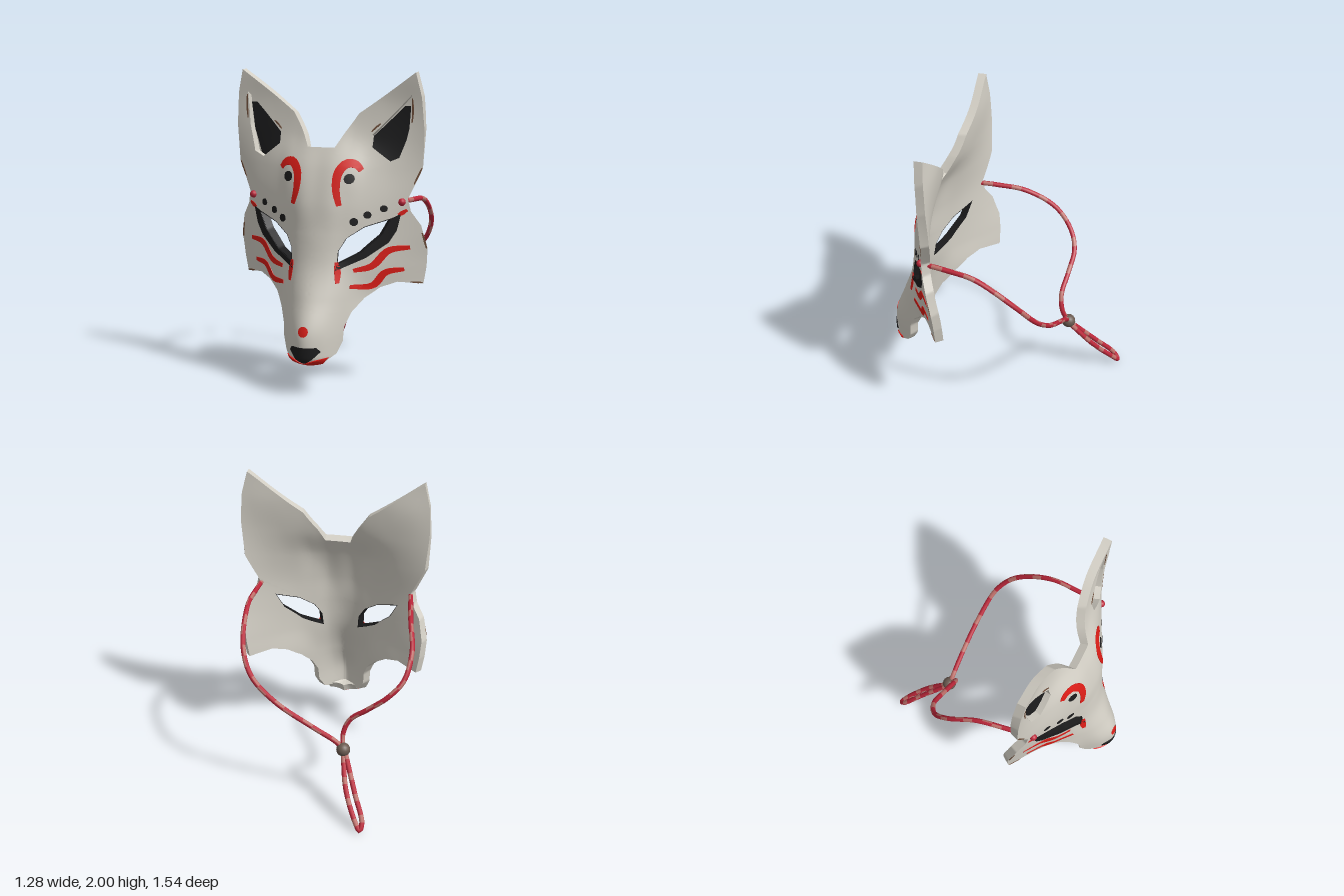
import * as THREE from 'three';
import { toCreasedNormals } from 'three/addons/utils/BufferGeometryUtils.js';

const paint = (name, color) => Object.assign(new THREE.MeshStandardMaterial({ color }), { name });
const V = (a) => new THREE.Vector3(a[0], a[1], a[2] || 0);

// Depth of the face: rows every 0.2 in y from 0.2 to 2, columns every 0.1 in x from the middle out
const DEPTH = [
  [.76, .71, .585, .50, .42, .35, .28],
  [.76, .71, .59, .50, .43, .35, .28],
  [.69, .655, .57, .47, .39, .32, .25],
  [.62, .60, .54, .48, .41, .34, .27],
  [.59, .575, .53, .48, .42, .36, .30],
  [.565, .56, .52, .47, .42, .37, .32],
  [.51, .51, .485, .435, .395, .36, .325],
  [.425, .42, .395, .375, .36, .345, .33],
  [.36, .36, .36, .35, .34, .335, .335],
  [.35, .35, .35, .35, .35, .35, .35],
];
const spline = (a, b, c, d, t) =>
  b + 0.5 * t * (c - a + t * (2 * a - 5 * b + 4 * c - d + t * (3 * (b - c) + d - a)));
const cell = (r, c) => {
  const row = DEPTH[Math.min(9, Math.max(0, r))];
  c = Math.abs(c);
  return c > 6 ? row[6] + (c - 6) * (row[6] - row[5]) : row[c];
};
function depth(x, y) {
  const u = Math.abs(x) * 10, v = (y - 0.2) * 5;
  const i = Math.floor(u), j = Math.floor(v);
  const rows = [-1, 0, 1, 2].map((k) =>
    spline(cell(j + k, i - 1), cell(j + k, i), cell(j + k, i + 1), cell(j + k, i + 2), u - i));
  const chin = Math.max(0, 0.245 - y);
  return spline(...rows, v - j) - 30 * chin * chin;
}

// Splits every triangle until no edge is longer than max in the xy plane
function subdivide(tri, max, out) {
  let k = 0, long = 0;
  for (let e = 0; e < 3; e++) {
    const a = tri[e], b = tri[(e + 1) % 3], d = Math.hypot(a.x - b.x, a.y - b.y);
    if (d > long) { long = d; k = e; }
  }
  if (long <= max) { out.push(...tri); return; }
  const a = tri[k], b = tri[(k + 1) % 3], c = tri[(k + 2) % 3];
  const m = a.clone().add(b).multiplyScalar(0.5);
  subdivide([a, m, c], max, out);
  subdivide([m, b, c], max, out);
}

// Lays a flat counter-clockwise outline over the face as a plate between two offsets along the normal
function drape(points, back, front, holes = []) {
  const shape = new THREE.Shape(points.map((p) => new THREE.Vector2(...p)));
  shape.holes = holes.map((h) => new THREE.Path(h.map((p) => new THREE.Vector2(...p))));
  let flat = new THREE.ExtrudeGeometry(shape, { depth: 1, bevelEnabled: false });
  if (flat.index) flat = flat.toNonIndexed();
  const pos = flat.attributes.position, verts = [];
  for (let i = 0; i < pos.count; i += 3) {
    subdivide([0, 1, 2].map((k) => new THREE.Vector3().fromBufferAttribute(pos, i + k)), 0.026, verts);
  }
  const e = 0.004;
  const placed = verts.map((p) => {
    const n = new THREE.Vector3(
      (depth(p.x - e, p.y) - depth(p.x + e, p.y)) / (2 * e),
      (depth(p.x, p.y - e) - depth(p.x, p.y + e)) / (2 * e), 1).normalize();
    return new THREE.Vector3(p.x, p.y, depth(p.x, p.y)).addScaledVector(n, back + (front - back) * p.z);
  });
  return toCreasedNormals(new THREE.BufferGeometry().setFromPoints(placed), 0.7);
}

// Brush stroke outline along a centre line, thinner at both ends
function stroke(points, width) {
  const curve = new THREE.CatmullRomCurve3(points.map(V)), left = [], right = [];
  for (let i = 0; i <= 16; i++) {
    const t = i / 16, p = curve.getPoint(t), d = curve.getTangent(t);
    const w = width * (0.55 + 0.45 * Math.sin(Math.PI * t)) / 2;
    left.unshift([p.x - d.y * w, p.y + d.x * w]);
    right.push([p.x + d.y * w, p.y - d.x * w]);
  }
  return [...right, ...left];
}
const dot = (x, y, r) => Array.from({ length: 10 }, (_, i) =>
  [x + r * Math.cos(i * Math.PI / 5), y + r * Math.sin(i * Math.PI / 5)]);
// Mirrors an outline and keeps its winding
const flip = (points, s) => {
  const out = points.map(([x, y]) => [x * s, y]);
  return s < 0 ? out.reverse() : out;
};

export function createModel() {
  const group = new THREE.Group();
  const shellMat = paint('bone white', 0xd3cfc5);
  const black = paint('black paint', 0x1b1b1c);
  const red = paint('red paint', 0xdc1d17);
  const cordRed = paint('cord red', 0xbc273a);
  const cordPink = paint('faded cord', 0xc0716b);
  const wood = paint('bead brown', 0x6a5a50);
  const chipped = paint('chipped edge brown', 0x70503c);
  const add = (name, geo, mat) => {
    const mesh = new THREE.Mesh(geo, mat);
    mesh.name = name;
    group.add(mesh);
    return mesh;
  };
  const mark = (name, points, mat, lift = 0.003) => add(name, drape(points, -0.001, lift), mat);

  // Mask shell with eye holes and ear openings
  const half = [[.1, .21], [.17, .265], [.2, .34], [.205, .43], [.24, .52], [.3, .6], [.38, .66],
    [.47, .69], [.61, .67], [.63, .78], [.64, .9], [.61, 1.05], [.555, 1.14], [.54, 1.22],
    [.58, 1.31], [.625, 1.41], [.635, 1.65], [.62, 1.85], [.585, 2], [.46, 1.91], [.22, 1.74],
    [.14, 1.62], [.09, 1.53]];
  const eye = [[.15, .81], [.28, .88], [.395, .99], [.45, 1.1], [.3, 1.05], [.2, .98], [.155, .9]];
  const eyeInset = eye.map(([x, y]) => [.28 + (x - .28) * .965, .965 + (y - .965) * .95]);
  const earHole = [[.54, 1.65], [.555, 1.86], [.31, 1.61], [.31, 1.54], [.43, 1.45], [.5, 1.48]];
  const outline = [[0, .19], ...half, [0, 1.53], ...flip(half, -1)];
  const holes = [1, -1].flatMap((s) => [flip(eye, s), flip(earHole, s)]);
  add('maskShell', drape(outline, -0.055, 0, holes), shellMat);

  // Nose, mouth and snout spot
  mark('nose', [[-.1, .292], [-.055, .245], [0, .215], [.055, .245], [.1, .292], [.08, .317],
    [-.08, .317]], black, 0.006);
  mark('mouth', [[-.135, .25], [-.1, .212], [0, .192], [.1, .212], [.135, .25], [.06, .235], [0, .211],
    [-.06, .235]], red, 0.007);
  mark('snoutSpot', dot(0, .415, .033), red);

  // Mirrored ears, eyes and paint
  const eyeLine = [[.14, .775], [.31, .855], [.43, .945], [.475, 1.02], [.5, 1.125], [.45, 1.1],
    [.395, .99], [.28, .88], [.15, .81]];
  const earDark = [[.53, 1.62], [.55, 1.79], [.5, 1.79], [.312, 1.608], [.312, 1.542], [.43, 1.452],
    [.48, 1.472]];
  const chips = [[[.56, 1.84], [.563, 1.76], [.557, 1.69]], [[.305, 1.63], [.335, 1.66], [.36, 1.68]],
    [[.573, 1.31], [.6, 1.37], [.618, 1.41]], [[.54, .685], [.575, .68], [.606, .677]],
    [[.634, .9], [.625, .95], [.614, 1]]];
  for (const [side, s] of [['left', 1], ['right', -1]]) {
    const put = (name, points, mat) => mark(side + name, flip(points, s), mat);
    add(side + 'EarPanel', drape(flip(earHole, s), -0.055, -0.046), shellMat);
    add(side + 'InnerEar', drape(flip(earDark, s), -0.047, -0.042), black);
    add(side + 'EyeRim', drape(flip(eye, s), -0.0555, 0.001, [flip(eyeInset, s)]), black);
    put('EyeLine', eyeLine, black);
    put('EyeOuterTip', stroke([[.485, 1.12], [.505, 1.13], [.535, 1.15]], .026), red);
    put('EyeInnerTear', stroke([[.148, .83], [.157, .77], [.16, .70]], .034), red);
    put('Eyebrow', stroke([[.27, 1.395], [.235, 1.432], [.18, 1.435], [.137, 1.38], [.132, 1.28],
      [.155, 1.18]].map(([x, y]) => [x, y]), .056), red);
    put('BrowDot', dot(.205, 1.345, .032), black);
    put('InnerDot', dot(.24, 1.08, .025), black);
    put('MiddleDot', dot(.315, 1.122, .023), black);
    put('OuterDot', dot(.405, 1.16, .022), black);
    put('UpperCheekStripe', stroke([[.24, .775], [.34, .8], [.43, .895], [.545, .91]], .043), red);
    put('LowerCheekStripe', stroke([[.225, .675], [.34, .675], [.41, .755], [.51, .77]], .042), red);
    chips.forEach((c, i) => put('EdgeChip' + i, stroke(c, .011), chipped));
    // Knot where the cord passes through the shell
    add(side + 'Knot', new THREE.SphereGeometry(0.024, 12, 8), cordRed)
      .position.set(0.507 * s, 1.2, depth(0.507, 1.2) + 0.004);
  }

  // Cord with faded flecks: every third half-round patch is pale
  const cord = (name, points) => {
    const rings = 90, sides = 8, run = sides / 2;
    const geo = new THREE.TubeGeometry(new THREE.CatmullRomCurve3(points.map(V)), rings, 0.0165, sides);
    for (let i = 0; i < rings * 2; i++) {
      const patch = Math.floor(i / 8) + (i % 2) * 2;
      geo.addGroup(i * run * 6, run * 6, patch % 3 === 0 ? 1 : 0);
    }
    add(name, geo, [cordRed, cordPink]);
  };
  cord('leftCord', [[.507, 1.2, .36], [.52, 1.195, .2], [.53, 1.17, 0], [.5, 1.0, -.25],
    [.42, .85, -.36], [.25, .7, -.405], [0, .55, -.42], [-.15, .46, -.42], [-.2, .41, -.42]]);
  cord('rightCord', [[-.507, 1.2, .36], [-.53, 1.195, .2], [-.56, 1.17, 0], [-.6, 1.05, -.2],
    [-.57, .91, -.32], [-.48, .81, -.375], [-.35, .7, -.37], [-.23, .6, -.36], [-.19, .5, -.38],
    [-.2, .41, -.42]]);
  cord('cordLoop', [[-.215, .39, -.43], [-.31, .2, -.6], [-.38, .06, -.72], [-.37, .018, -.75],
    [-.335, .06, -.72], [-.25, .21, -.59], [-.2, .39, -.43]]);

  // Bead that gathers the cord
  add('bead', new THREE.SphereGeometry(0.046, 18, 12), wood).position.set(-.2, .41, -.425);

  return group;
}
